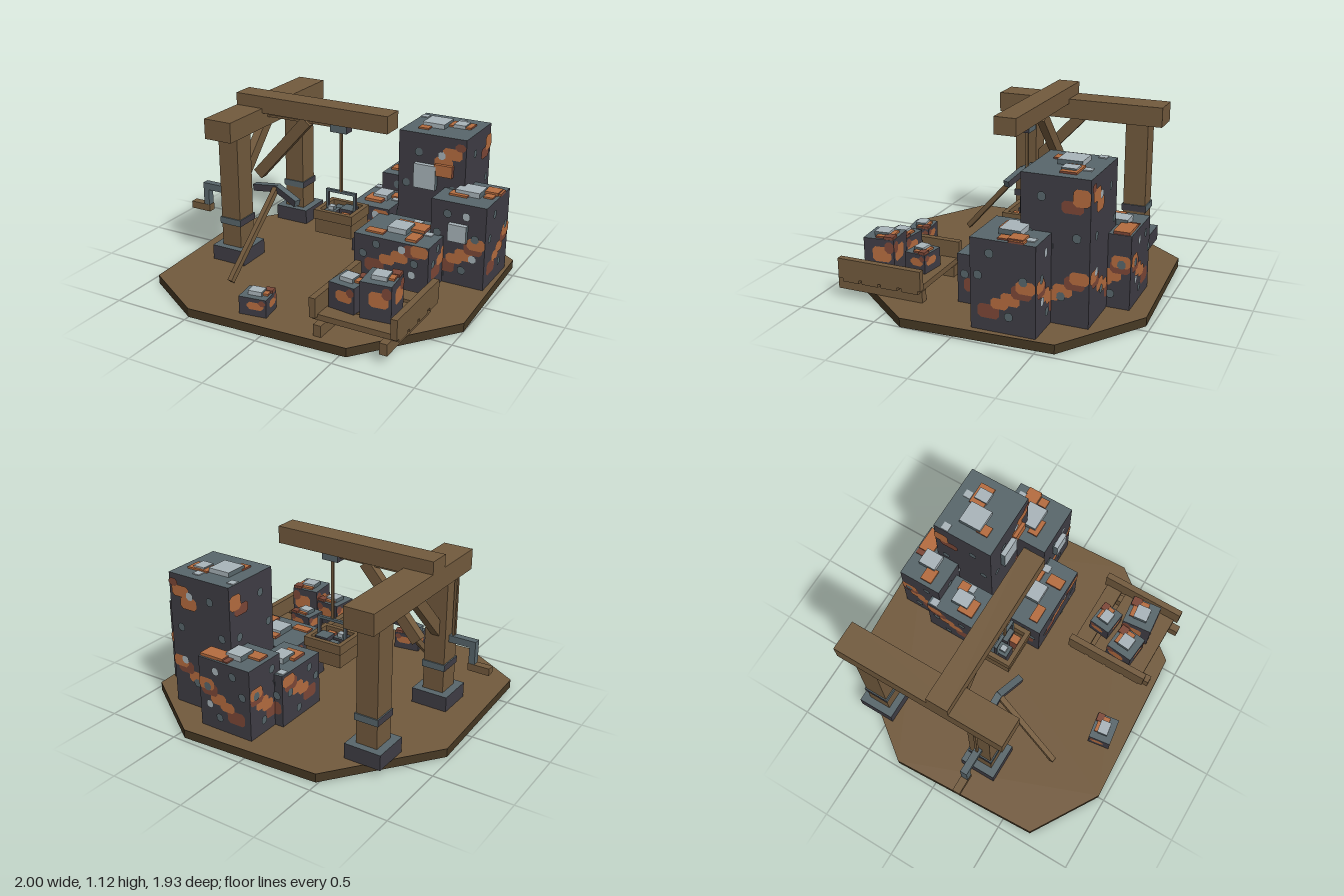
import * as THREE from 'three';

const mat = (name, color) => {
  const m = new THREE.MeshStandardMaterial({ color });
  m.name = name;
  return m;
};

export function createModel() {
  const wood = mat('wood', 0x725a3d), darkWood = mat('dark wood', 0x463823), soil = mat('underside', 0x30291d);
  const slate = mat('slate', 0x58666b), dark = mat('dark stone', 0x3f3d45);
  const orange = mat('orange ore', 0xb56c3f), rust = mat('rust ore', 0x7c4737);
  const light = mat('pale metal', 0xa9b4ba);
  // Box face order: +x, -x, +y, -y, +z, -z
  const stone = [dark, dark, slate, dark, dark, dark];
  const iron = [dark, dark, slate, slate, slate, slate];
  const pale = [slate, slate, light, slate, light, light];
  const ore = [rust, rust, orange, rust, orange, orange];

  const model = new THREE.Group();
  const group = (name, parent = model) => {
    const g = new THREE.Group();
    g.name = name;
    parent.add(g);
    return g;
  };
  const add = (parent, name, geometry, m) => {
    const mesh = new THREE.Mesh(geometry, m);
    mesh.name = name;
    parent.add(mesh);
    return mesh;
  };
  // Box given by its x, y and z ranges
  const box = (parent, name, m, [x0, x1], [y0, y1], [z0, z1]) =>
    add(parent, name, new THREE.BoxGeometry(x1 - x0, y1 - y0, z1 - z0), m)
      .position.set((x0 + x1) / 2, (y0 + y1) / 2, (z0 + z1) / 2);
  // Square bar between two points
  const bar = (parent, name, m, a, b, w, h = w) => {
    const p = new THREE.Vector3(...a), q = new THREE.Vector3(...b);
    const mesh = add(parent, name, new THREE.BoxGeometry(w, h, p.distanceTo(q)), m);
    mesh.position.copy(p).lerp(q, 0.5);
    mesh.lookAt(q);
  };

  // Ground slab: irregular octagon with dark edges, darker underside and wooden top
  const slab = new THREE.Shape([[-0.485, -0.92], [0.44, -0.97], [0.96, -0.605], [1, 0.33],
    [0.54, 0.905], [-0.5, 0.96], [-0.93, 0.695], [-0.975, -0.28]].map(([x, z]) => new THREE.Vector2(x, -z)));
  add(model, 'groundSlab', new THREE.ExtrudeGeometry(slab, { depth: 0.056, bevelEnabled: false })
    .rotateX(-Math.PI / 2), [soil, darkWood]);
  add(model, 'groundTop', new THREE.ShapeGeometry(slab).rotateX(-Math.PI / 2), wood).position.y = 0.058;

  // Crane frame: two footed posts, cross beam, boom and braces
  const crane = group('crane');
  for (const z of [-0.577, 0.205]) {
    box(crane, 'footing', stone, [-0.77, -0.53], [0.058, 0.157], [z - 0.12, z + 0.12]);
    box(crane, 'post', wood, [-0.72, -0.58], [0.157, 0.91], [z - 0.075, z + 0.075]);
    box(crane, 'postBand', iron, [-0.728, -0.572], [0.308, 0.352], [z - 0.083, z + 0.083]);
  }
  box(crane, 'crossBeam', wood, [-0.745, -0.552], [0.908, 1.038], [-0.75, 0.385]);
  box(crane, 'boom', wood, [-0.745, 0.338], [1.008, 1.118], [-0.115, 0.03]);
  bar(crane, 'boomBrace', wood, [-0.63, 0.565, -0.04], [-0.255, 0.985, -0.04], 0.055, 0.075);
  bar(crane, 'postBrace', wood, [-0.65, 0.56, 0.16], [-0.65, 0.905, -0.17], 0.055, 0.075);

  // Hoist: ropes, pulley and crank
  const hoist = group('hoist');
  box(hoist, 'pulley', iron, [-0.072, 0.042], [0.95, 1.01], [-0.075, -0.003]);
  bar(hoist, 'boomRope', wood, [-0.74, 0.973, -0.04], [-0.07, 0.978, -0.04], 0.014);
  box(hoist, 'bucketRope', wood, [-0.022, -0.006], [0.55, 0.95], [-0.047, -0.031]);
  box(hoist, 'crankRope', wood, [-0.748, -0.732], [0.53, 0.91], [0.192, 0.208]);
  box(hoist, 'crankAxle', slate, [-0.9, -0.72], [0.49, 0.535], [0.178, 0.224]);
  box(hoist, 'crankArm', slate, [-0.9, -0.86], [0.38, 0.49], [0.178, 0.224]);
  box(hoist, 'crankHandle', wood, [-1, -0.857], [0.338, 0.385], [0.176, 0.226]);

  // Open bucket with a raised rim, bail handle and load
  const bucket = group('bucket');
  bucket.position.set(-0.015, 0, -0.045);
  box(bucket, 'floor', wood, [-0.13, 0.13], [0.285, 0.31], [-0.11, 0.11]);
  for (const s of [-1, 1]) {
    const span = (a, b) => [Math.min(s * a, s * b), Math.max(s * a, s * b)];
    box(bucket, 'sideWall', wood, span(0.105, 0.13), [0.285, 0.38], [-0.11, 0.11]);
    box(bucket, 'endWall', wood, [-0.13, 0.13], [0.285, 0.38], span(0.085, 0.11));
    box(bucket, 'sideRim', wood, span(0.107, 0.137), [0.38, 0.442], [-0.12, 0.12]);
    box(bucket, 'endRim', wood, [-0.137, 0.137], [0.38, 0.442], span(0.09, 0.12));
    box(bucket, 'bailLeg', iron, span(0.09, 0.107), [0.4, 0.55], [-0.01, 0.01]);
  }
  box(bucket, 'bailBar', iron, [-0.107, 0.107], [0.535, 0.553], [-0.01, 0.01]);
  for (const [x, z, m, s, y] of [[-0.05, 0.03, stone, 0.04, 0.43], [0.045, -0.02, stone, 0.045, 0.44],
    [-0.05, 0.03, pale, 0.02, 0.455], [-0.04, -0.05, slate, 0.03, 0.42], [0.05, 0.055, ore, 0.028, 0.42]])
    box(bucket, 'load', m, [x - s, x + s], [0.31, y], [z - s, z + s]);

  // Pickaxe
  const pick = group('pickaxe');
  const headMats = [slate, slate, slate, dark, dark, dark];
  const arm = (x0, y0, x1, y1, z, turn) => {
    const m = add(pick, 'pickHead', new THREE.BoxGeometry(Math.hypot(x1 - x0, y1 - y0), 0.044, 0.044), headMats);
    m.position.set((x0 + x1) / 2, (y0 + y1) / 2, z);
    m.rotation.set(0, turn, Math.atan2(y1 - y0, x1 - x0));
  };
  arm(-0.55, 0.545, -0.37, 0.567, 0.138, 0);
  arm(-0.385, 0.568, -0.2, 0.513, 0.163, -0.27);
  bar(pick, 'pickHandle', wood, [-0.383, 0.57, 0.145], [-0.452, 0.082, 0.585], 0.034);

  // Sled: runners, slats and side boards
  const sled = group('sled');
  for (const x of [0.337, 0.752]) box(sled, 'runner', wood, [x - 0.025, x + 0.025], [0.058, 0.13], [0.3, 0.875]);
  for (const z of [0.36, 0.5, 0.63, 0.762]) box(sled, 'slat', wood, [0.27, 0.82], [0.128, 0.165], [z - 0.055, z + 0.055]);
  box(sled, 'sideBoard', wood, [0.268, 0.308], [0.15, 0.275], [0.288, 0.845]);
  box(sled, 'sideBoard', wood, [0.78, 0.82], [0.15, 0.275], [0.288, 0.845]);

  // Thin cut-corner patch on the xy plane
  const patch = (parent, name, m, x, y, z, w, h, cut) => {
    const a = w / 2, b = h / 2, c = cut;
    const s = new THREE.Shape([[c - a, -b], [a - c, -b], [a, c - b], [a, b - c], [a - c, b], [c - a, b], [-a, b - c], [-a, c - b]]
      .map(p => new THREE.Vector2(...p)));
    add(parent, name, new THREE.ShapeGeometry(s), m).position.set(x, y, z);
  };

  // Veins: [fraction across, height, width, height, material]
  const bigVeins = [[0.28, 0.12, 0.13, 0.085, rust], [0.45, 0.175, 0.105, 0.065, orange],
    [0.62, 0.21, 0.115, 0.075, orange], [0.79, 0.262, 0.12, 0.08, rust], [0.88, 0.295, 0.115, 0.075, orange]];
  const highVeins = [
    [[0.68, 0.7, 0.125, 0.08, orange], [0.81, 0.77, 0.13, 0.075, orange], [0.93, 0.82, 0.07, 0.05, rust]],
    [[0.75, 0.707, 0.13, 0.072, rust], [0.88, 0.765, 0.1, 0.1, orange]]];
  // Flecks as fractions of the face; the last two only on front and back
  const flecks = [[0.31, 0.86, slate], [0.82, 0.61, slate], [0.13, 0.61, slate], [0.6, 0.2, slate],
    [0.65, 0.86, light], [0.79, 0.36, light]];

  // Ore block: slate top, climbing veins, flecks, raised plates on top
  // plates: [x, z, width, depth, height, material] from the block centre
  const oreBlock = (name, cx, cz, w, d, y0, y1, turn, plates, high) => {
    const g = group(name), H = y1 - y0, big = w > 0.22;
    g.position.set(cx, y0, cz);
    g.rotation.y = turn;
    box(g, 'block', stone, [-w / 2, w / 2], [0, H], [-d / 2, d / 2]);
    for (let f = 0; f < 4; f++) {
      const face = group('veins', g), side = f % 2, W = side ? d : w, D = side ? w : d;
      face.rotation.y = f * Math.PI / 2;
      const dir = f < 2 ? 1 : -1;
      const veins = !big ? [[0.6, H * 0.58, W * 0.62, H * 0.42, orange], [0.85, H * 0.78, W * 0.3, H * 0.32, rust]]
        : high ? [...bigVeins, ...highVeins[side]] : bigVeins;
      veins.forEach(([t, v, a, b, m], i) => patch(face, 'vein', m,
        dir * Math.min((t - 0.5) * W, (W - a) / 2), Math.min(v, H - b / 2), D / 2 + 0.002 + i * 0.0008, a, b, 0.018));
      if (big) flecks.slice(0, side ? 4 : 6).forEach(([t, v, m]) =>
        patch(face, 'fleck', m, dir * (t - 0.5) * W, v * H, D / 2 + 0.009, 0.05, 0.052, 0.014));
    }
    plates.forEach(([x, z, a, b, h, m]) =>
      box(g, 'topPlate', m, [x - a / 2, x + a / 2], [H - 0.004, H + h], [z - b / 2, z + b / 2]));
    return g;
  };

  // Large ore stack
  const tall = oreBlock('tallOre', 0.488, -0.508, 0.457, 0.41, 0.058, 0.932, 0, [
    [-0.055, -0.005, 0.15, 0.15, 0.03, pale], [0.095, -0.04, 0.08, 0.09, 0.022, pale],
    [0.095, -0.05, 0.15, 0.1, 0.012, ore], [-0.1, 0.085, 0.07, 0.08, 0.01, ore],
    [-0.2, -0.13, 0.05, 0.05, 0.006, light], [0.06, -0.13, 0.05, 0.05, 0.006, light]], true);
  box(tall, 'sidePlate', pale, [-0.11, 0.04], [0.52, 0.68], [0.2, 0.238]);
  box(tall, 'sideOre', ore, [0.03, 0.15], [0.62, 0.695], [0.2, 0.235]);
  const right = oreBlock('rightOre', 0.765, -0.293, 0.36, 0.39, 0.058, 0.602, 0, [
    [0, 0, 0.16, 0.13, 0.033, pale], [0.12, -0.07, 0.09, 0.09, 0.02, ore],
    [0.125, 0.01, 0.06, 0.06, 0.01, ore], [-0.05, 0.06, 0.12, 0.07, 0.012, ore],
    [0.155, -0.08, 0.05, 0.09, 0.012, ore], [0.1, -0.14, 0.05, 0.05, 0.006, light]], false);
  box(right, 'sidePlate', pale, [-0.055, 0.065], [0.3, 0.412], [0.19, 0.228]);
  oreBlock('frontOre', 0.418, -0.073, 0.507, 0.38, 0.058, 0.367, 0, [
    [-0.015, 0.013, 0.13, 0.13, 0.035, pale], [0.03, -0.05, 0.22, 0.11, 0.018, ore],
    [0.115, 0.1, 0.075, 0.11, 0.016, ore], [-0.14, 0.11, 0.12, 0.06, 0.012, ore],
    [0.03, -0.14, 0.06, 0.06, 0.006, light], [0.17, 0, 0.05, 0.05, 0.006, light]], false);
  oreBlock('leftOre', 0.095, -0.425, 0.27, 0.385, 0.058, 0.402, 0, [
    [0.005, 0, 0.1, 0.12, 0.035, pale], [-0.02, 0.06, 0.12, 0.11, 0.018, ore],
    [0.085, -0.04, 0.07, 0.07, 0.014, ore], [0.1, 0.01, 0.05, 0.05, 0.006, light],
    [-0.105, -0.15, 0.05, 0.05, 0.006, light]], false);
  oreBlock('backOre', 0.208, -0.705, 0.377, 0.295, 0.058, 0.518, 0, [
    [-0.02, -0.015, 0.11, 0.12, 0.035, pale], [0.1, -0.085, 0.165, 0.1, 0.018, ore],
    [-0.11, 0.03, 0.1, 0.08, 0.014, ore], [0.02, -0.1, 0.08, 0.07, 0.008, rust]], false);

  // Small ore lumps on the sled and the ground
  for (const [x, z, w, d, y0, y1, turn] of [[0.415, 0.63, 0.175, 0.18, 0.165, 0.33, -0.1],
    [0.617, 0.63, 0.19, 0.195, 0.165, 0.392, 0.1], [0.52, 0.43, 0.165, 0.145, 0.165, 0.285, -0.12],
    [-0.123, 0.778, 0.175, 0.145, 0.058, 0.172, 0.14]])
    oreBlock('smallOre', x, z, w, d, y0, y1, turn, [
      [0, 0, w * 0.5, d * 0.47, 0.027, pale], [w * 0.1, -d * 0.13, w * 0.66, d * 0.5, 0.013, ore],
      [w * 0.33, -d * 0.32, w * 0.32, d * 0.32, 0.017, rust]], false);

  return model;
}
